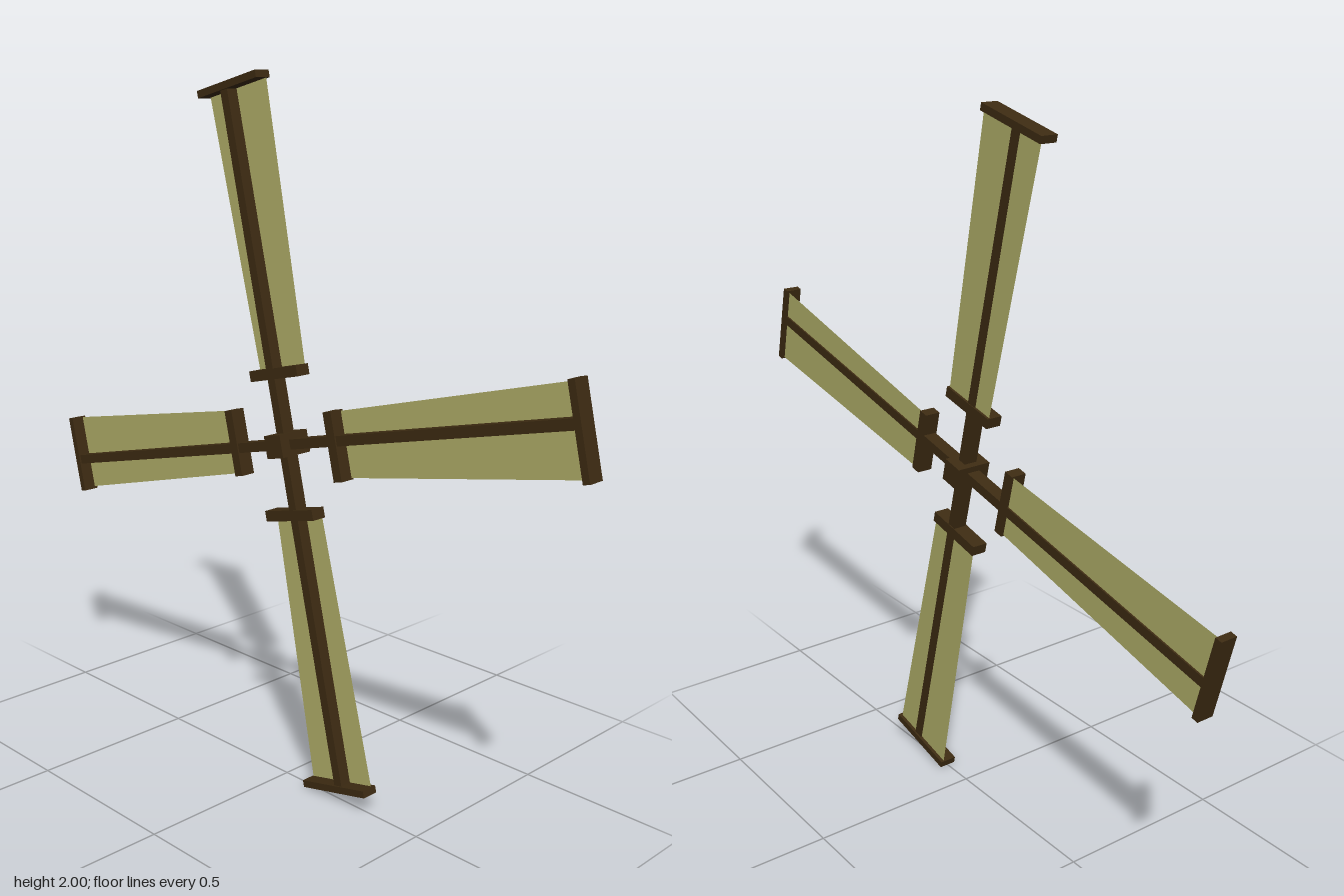
import * as THREE from 'three';

export function createModel() {
  const wood = new THREE.MeshStandardMaterial({ color: 0x3d2b12 });
  const cloth = new THREE.MeshStandardMaterial({ color: 0xb2b069, side: THREE.DoubleSide });

  // Box given by its lower and upper corners
  function bar(name, [x0, y0, z0], [x1, y1, z1]) {
    const mesh = new THREE.Mesh(new THREE.BoxGeometry(x1 - x0, y1 - y0, z1 - z0), wood);
    mesh.name = name;
    mesh.position.set((x0 + x1) / 2, (y0 + y1) / 2, (z0 + z1) / 2);
    return mesh;
  }

  // Sail cloth: thin sheet widening to the tip, drawn as (-z, y) and turned to face +x
  const outline = new THREE.Shape([
    [-0.105, 0.195], [0.076, 0.195], [0.096, 0.98], [-0.135, 0.98],
  ].map(([a, b]) => new THREE.Vector2(a, b)));
  const sailGeometry = new THREE.ShapeGeometry(outline).rotateY(Math.PI / 2).translate(0.015, 0, 0);

  // One blade pointing up from the hub
  function createBlade() {
    const blade = new THREE.Group();
    blade.name = 'blade';
    const sail = new THREE.Mesh(sailGeometry, cloth);
    sail.name = 'sail';
    blade.add(
      sail,
      bar('spar', [-0.02, 0.02, -0.014], [0.02, 0.978, 0.014]),
      bar('innerCrossbar', [-0.024, 0.183, -0.08], [0.022, 0.213, 0.11]),
      bar('tipCrossbar', [-0.025, 0.975, -0.103], [0.025, 0.995, 0.138]),
    );
    return blade;
  }

  // Rotor, turned slightly about its axle
  const rotor = new THREE.Group();
  rotor.name = 'rotor';
  rotor.position.y = 1;
  rotor.rotation.x = THREE.MathUtils.degToRad(-13.4);
  rotor.add(bar('hub', [-0.052, -0.032, -0.032], [0.052, 0.032, 0.032]));
  for (let i = 0; i < 4; i++) {
    const blade = createBlade();
    blade.rotation.x = i * Math.PI / 2;
    rotor.add(blade);
  }

  const model = new THREE.Group();
  model.name = 'windmillSails';
  model.add(rotor);
  return model;
}
